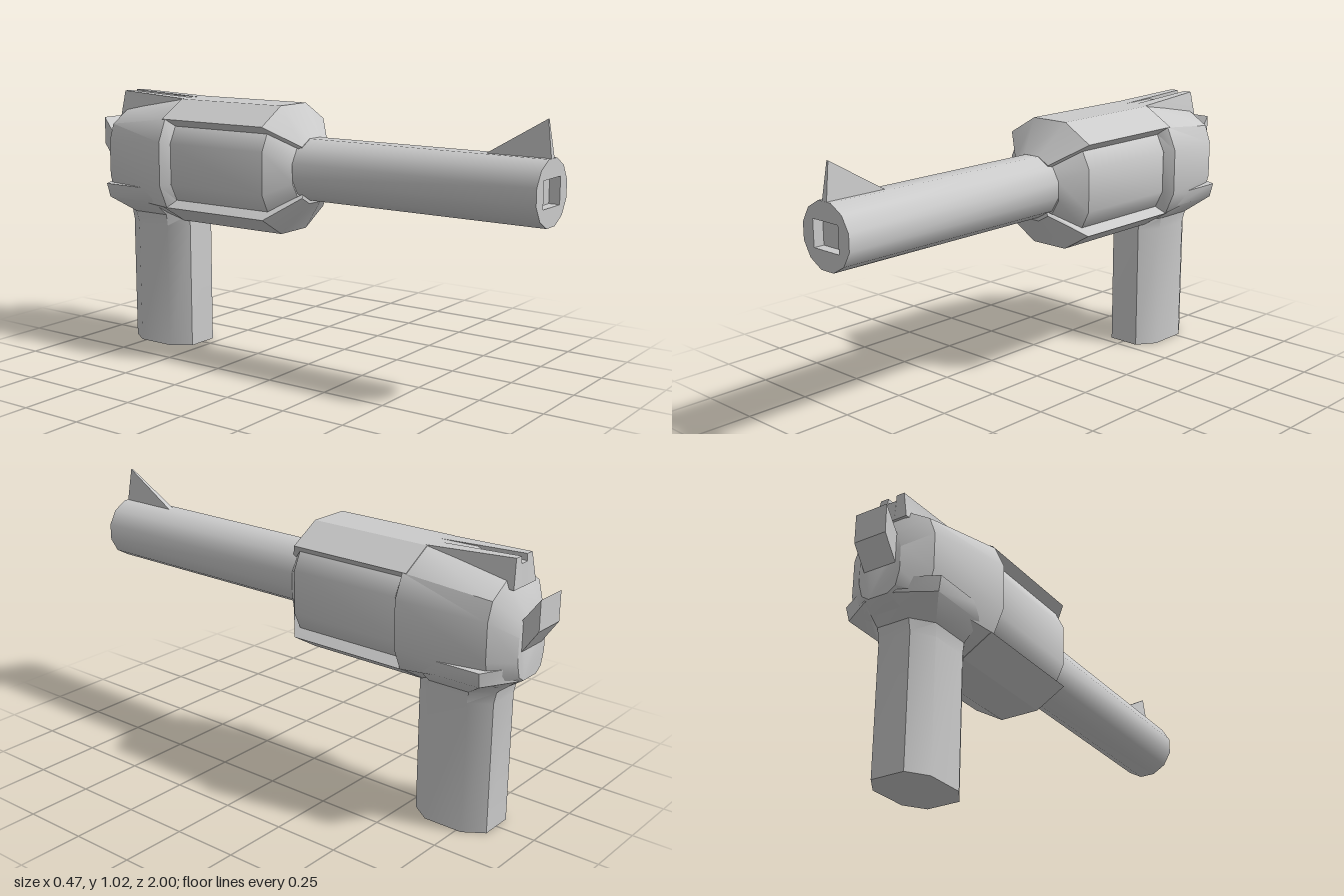
import * as THREE from 'three';
import { toCreasedNormals } from 'three/addons/utils/BufferGeometryUtils.js';

const grey = new THREE.MeshStandardMaterial({ color: 0xcccccc });
const AXIS = 0.766; // height of the body's centre line

function part(name, geometry, crease = 0.62) {
  const mesh = new THREE.Mesh(toCreasedNormals(geometry, crease), grey);
  mesh.name = name;
  return mesh;
}

// Full outline from its +x half, listed bottom to top
const mirrored = (half) => [...half, ...half.map(([x, y]) => [-x, y]).reverse()];

// Outline symmetric about the centre line, from its upper right quarter
const quartered = (quarter) => mirrored([
  ...quarter.map(([x, y]) => [x, 2 * AXIS - y]).reverse(), ...quarter,
]);

// Skin counter-clockwise outlines, ordered from high z to low z, and cap both ends
function loft(sections) {
  const n = sections[0].ring.length;
  const pos = [];
  const index = [];
  for (const { z, ring } of sections) {
    ring.forEach(([x, y, dz = 0]) => pos.push(x, y, z + dz));
  }
  for (let s = 0; s < sections.length - 1; s++) {
    for (let i = 0; i < n; i++) {
      const j = (i + 1) % n;
      const a = s * n + i, b = s * n + j, c = a + n, d = b + n;
      index.push(a, c, b, b, c, d);
    }
  }
  const last = (sections.length - 1) * n;
  for (let i = 1; i < n - 1; i++) {
    index.push(0, i, i + 1, last, last + i + 1, last + i);
  }
  const g = new THREE.BufferGeometry();
  g.setAttribute('position', new THREE.Float32BufferAttribute(pos, 3));
  g.setIndex(index);
  return g;
}

// Extrude a side profile of [z, y] points across x
function sideProfile(points, width) {
  const shape = new THREE.Shape(points.map(([z, y]) => new THREE.Vector2(-z, y)));
  return new THREE.ExtrudeGeometry(shape, { depth: width, bevelEnabled: false })
    .translate(0, 0, -width / 2).rotateY(Math.PI / 2);
}

export function createModel() {
  const model = new THREE.Group();

  // Twelve-sided barrel with a shallow rectangular recess in the muzzle
  const outline = new THREE.Shape();
  for (let i = 0; i < 12; i++) {
    const a = (i + 0.5) * Math.PI / 6;
    const x = Math.cos(a) * 0.121, y = 0.772 + Math.sin(a) * 0.121;
    if (i) outline.lineTo(x, y); else outline.moveTo(x, y);
  }
  outline.closePath();
  const [left, right, low, high] = [-0.064, 0.064, 0.724, 0.822];
  outline.holes.push(new THREE.Path([
    new THREE.Vector2(left, low), new THREE.Vector2(left, high),
    new THREE.Vector2(right, high), new THREE.Vector2(right, low),
  ]));
  model.add(part('barrel', new THREE.ExtrudeGeometry(outline, { depth: 1.1, bevelEnabled: false })
    .translate(0, 0, -0.1)));
  model.add(part('muzzleFloor', new THREE.BoxGeometry(right - left, high - low, 0.1)
    .translate(0, (low + high) / 2, 0.91)));

  // Front sight: a thin fin narrowing to the top
  const fin = sideProfile([[0.75, 0.885], [1, 0.885], [0.98, 1.02]], 0.024);
  const p = fin.attributes.position;
  for (let i = 0; i < p.count; i++) if (p.getY(i) > 1) p.setX(i, p.getX(i) * 0.3);
  model.add(part('frontSight', fin, 0.3));

  // Drum between the two frame shells
  const drumRing = quartered([[0.197, 0.847], [0.165, 0.912], [0.07, 0.97]]);
  model.add(part('drum', loft([
    { z: 0.01, ring: quartered([[0.117, 0.803], [0.086, 0.855], [0.031, 0.883]]) },
    { z: -0.07, ring: drumRing },
    { z: -0.56, ring: drumRing },
  ])));

  // Upper frame shell, turned over for the lower one
  const shellRing = mirrored([[0.165, 0.912], [0.197, 0.94], [0.079, 1.01]]);
  const shell = loft([
    { z: 0.03, ring: mirrored([[0.072, 0.845], [0.083, 0.862], [0.035, 0.889]]) },
    { z: -0.07, ring: shellRing },
    { z: -0.56, ring: shellRing },
  ]);
  model.add(part('upperFrame', shell, 0.4));
  const lower = part('lowerFrame', shell, 0.4);
  lower.rotation.z = Math.PI;
  lower.position.y = 2 * AXIS;
  model.add(lower);

  // Rear body, tapering to a small back face
  model.add(part('rearBody', loft([
    { z: -0.52, ring: quartered([[0.2, 0.847], [0.166, 0.913], [0.07, 0.97]]) },
    { z: -0.545, ring: quartered([[0.235, 0.853], [0.197, 0.94], [0.079, 1.01]]) },
    { z: -0.87, ring: mirrored([[0.06, 0.56], [0.148, 0.605], [0.172, 0.69],
      [0.172, 0.83], [0.148, 0.898], [0.06, 0.952]]) },
    { z: -0.94, ring: mirrored([[0.04, 0.605], [0.07, 0.625], [0.085, 0.68],
      [0.085, 0.77], [0.07, 0.815], [0.04, 0.835]]) },
  ])));

  // Rear sight: two rising ridges with a notch between
  for (const side of [1, -1]) {
    const ridge = (pts) => {
      const ring = pts.map(([x, y, dz]) => [x * side, y, dz]);
      return side > 0 ? ring : ring.reverse();
    };
    model.add(part('rearSightRidge', loft([
      { z: -0.545, ring: ridge([[0.018, 0.95], [0.078, 0.95], [0.075, 1.01], [0.018, 1.01]]) },
      { z: -0.9, ring: ridge([[0.018, 0.92], [0.07, 0.92], [0.05, 1.025, 0.008], [0.018, 1.025, 0.008]]) },
    ]), 0.3));
  }
  model.add(part('rearSightNotch', sideProfile(
    [[-0.545, 0.95], [-0.545, 1.01], [-0.7, 1.012], [-0.72, 1.004], [-0.895, 1.0], [-0.9, 0.92]].reverse(), 0.038), 0.3));

  // Hammer
  model.add(part('hammer', sideProfile(
    [[-0.9, 0.66], [-0.9, 0.79], [-0.94, 0.83], [-1, 0.91], [-1, 0.8], [-0.94, 0.715]].reverse(), 0.13), 0.3));

  // Eight-sided grip, flaring into the rear body
  const gripRing = (w, front, back, cut, c2 = 0.065) => mirrored([
    [c2, front], [w, front + cut], [w, back - cut], [c2, back],
  ]);
  const grip = part('grip', loft([
    { z: 0.66, ring: gripRing(0.2, 0.56, 0.935, 0.07) },
    { z: 0.605, ring: gripRing(0.188, 0.55, 0.93, 0.07) },
    { z: 0.545, ring: gripRing(0.122, 0.541, 0.855, 0.075) },
    { z: 0.5, ring: gripRing(0.116, 0.54, 0.845, 0.075) },
    { z: 0, ring: gripRing(0.116, 0.54, 0.845, 0.075) },
  ]));
  grip.rotation.x = -Math.PI / 2;
  model.add(grip);

  return model;
}
